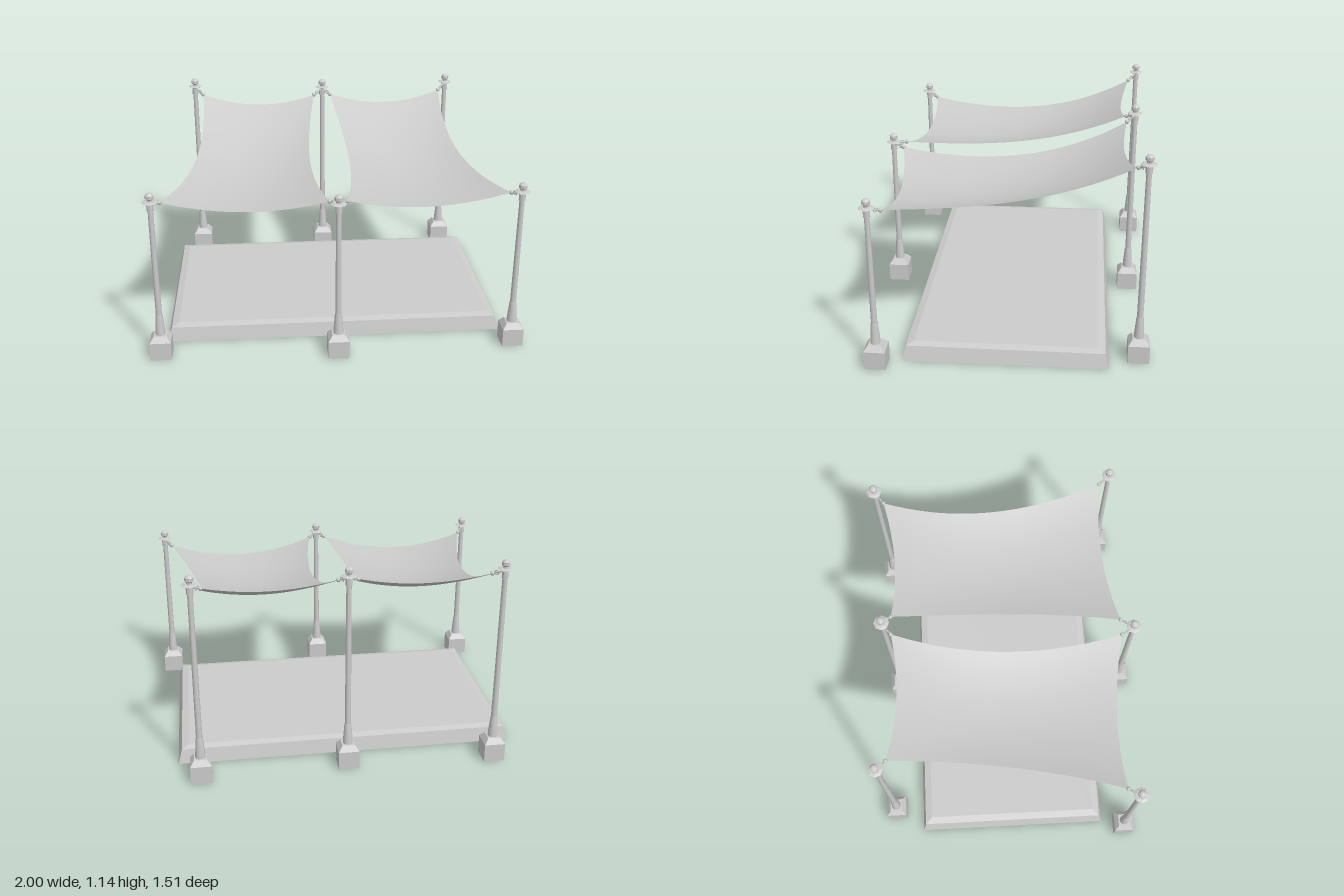
import * as THREE from 'three';

const flat = new THREE.MeshStandardMaterial({ color: 0xcccccc, flatShading: true, side: THREE.DoubleSide });
const smooth = new THREE.MeshStandardMaterial({ color: 0xcccccc, side: THREE.DoubleSide });

function mesh(name, geometry, material, parent) {
  const m = new THREE.Mesh(geometry, material);
  m.name = name;
  parent.add(m);
  return m;
}

function lathe(points, sides) {
  return new THREE.LatheGeometry(points.map(([r, y]) => new THREE.Vector2(r, y)), sides);
}

// Square, hollow-bottomed footing with a chamfered top
function footing() {
  const k = Math.SQRT2;
  return lathe([[0.056 * k, 0], [0.056 * k, 0.1], [0.034 * k, 0.13], [0, 0.13]], 4).rotateY(Math.PI / 4);
}

// Post standing at (x, z) whose finial reaches height h
function post(name, x, z, h) {
  const g = new THREE.Group();
  g.name = name;
  g.position.set(x, 0, z);
  mesh('footing', footing(), flat, g);
  mesh('sleeve', lathe([[0.027, 0.13], [0.026, 0.15], [0.019, 0.24], [0.015, 0.25]], 12), smooth, g);
  mesh('shaft', new THREE.CylinderGeometry(0.0135, 0.0165, h - 0.29, 12, 1, true)
    .translate(0, 0.24 + (h - 0.29) / 2, 0), smooth, g);
  mesh('collar', new THREE.CylinderGeometry(0.018, 0.018, 0.035, 8).translate(0, h - 0.08, 0), flat, g);
  mesh('plate', lathe([[0, -0.006], [0.028, -0.005], [0.042, 0], [0.028, 0.005], [0, 0.006]], 8)
    .translate(0, h - 0.05, 0), flat, g);
  mesh('finial', lathe([[0.014, -0.05], [0.014, -0.036], [0.022, -0.029], [0.022, -0.012], [0.012, -0.002], [0, 0]], 8)
    .translate(0, h, 0), flat, g);
  return g;
}

// Cloth hung from four corners: edges curve inward and the middle sags
function sailGeometry([frontOuter, frontInner, backOuter, backInner]) {
  const n = 20;
  const geo = new THREE.PlaneGeometry(1, 1, n, n);
  const p = geo.attributes.position;
  const a = new THREE.Vector3(), b = new THREE.Vector3();
  for (let i = 0; i < p.count; i++) {
    const u = p.getX(i) + 0.5, v = p.getY(i) + 0.5;
    const bu = 4 * u * (1 - u), bv = 4 * v * (1 - v);
    a.lerpVectors(frontOuter, frontInner, u);
    b.lerpVectors(backOuter, backInner, u);
    a.lerp(b, v);
    const side = Math.sign(frontInner.x - frontOuter.x);
    a.x += side * 0.064 * bv * (1 - 2 * u);
    a.z += -0.037 * bu * (1 - 2 * v);
    a.y -= 0.1 * bv * (1 + 0.4 * (v - 0.5)) + bu * (0.073 - 0.02 * v - 0.03 * v * (1 - v));
    p.setXYZ(i, a.x, a.y, a.z);
  }
  // Keep the cloth facing upward on the mirrored half as well
  if (frontInner.x < frontOuter.x) {
    const ix = geo.index.array;
    for (let i = 0; i < ix.length; i += 3) [ix[i + 1], ix[i + 2]] = [ix[i + 2], ix[i + 1]];
  }
  geo.computeVertexNormals();
  return geo;
}

// Cord from a sail corner to its post, with a ring and a knot
function tie(corner, anchor, parent) {
  const g = new THREE.Group();
  g.name = 'cornerTie';
  parent.add(g);
  mesh('cord', new THREE.TubeGeometry(new THREE.LineCurve3(corner, anchor), 1, 0.0045, 6), smooth, g);
  mesh('knot', new THREE.SphereGeometry(0.012, 8, 6), smooth, g).position.copy(corner);
  const ring = mesh('ring', new THREE.TorusGeometry(0.011, 0.003, 5, 10), smooth, g);
  ring.position.lerpVectors(corner, anchor, 0.35);
  ring.lookAt(anchor);
  ring.rotateY(Math.PI / 2);
}

// Slab with battered sides, a beveled rim and an open underside
function slabGeometry() {
  const rings = [[0.915, 0.535, 0], [0.893, 0.518, 0.078], [0.855, 0.48, 0.088]];
  const pos = [], idx = [];
  for (const [x, z, y] of rings) pos.push(-x, y, z, x, y, z, x, y, -z, -x, y, -z);
  for (let r = 0; r < 2; r++) {
    for (let i = 0; i < 4; i++) {
      const a = r * 4 + i, b = r * 4 + (i + 1) % 4;
      idx.push(a, b, b + 4, a, b + 4, a + 4);
    }
  }
  idx.push(8, 9, 10, 8, 10, 11);
  const geo = new THREE.BufferGeometry();
  geo.setAttribute('position', new THREE.Float32BufferAttribute(pos, 3));
  geo.setIndex(idx);
  const out = geo.toNonIndexed();
  out.computeVertexNormals();
  return out;
}

export function createModel() {
  const root = new THREE.Group();
  root.name = 'shadeSailCanopy';

  mesh('floorSlab', slabGeometry(), flat, root).position.set(-0.007, 0, -0.015);

  // Centre posts
  root.add(post('frontCentrePost', -0.004, 0.7, 0.92));
  root.add(post('backCentrePost', 0.004, -0.668, 1.13));

  // Outer posts, sails and ties on both sides
  for (const [s, label] of [[1, 'left'], [-1, 'right']]) {
    root.add(post(label + 'FrontPost', s * 0.944, 0.645, 0.935));
    root.add(post(label + 'BackPost', s * 0.786, -0.703, 1.14));

    const corners = [
      new THREE.Vector3(s * 0.903, 0.857, 0.585),
      new THREE.Vector3(s * 0.045, 0.857, 0.633),
      new THREE.Vector3(s * 0.735, 1.05, -0.655),
      new THREE.Vector3(s * 0.05, 1.045, -0.622),
    ];
    const anchors = [
      new THREE.Vector3(s * 0.944, 0.877, 0.645),
      new THREE.Vector3(-0.004, 0.862, 0.7),
      new THREE.Vector3(s * 0.786, 1.082, -0.703),
      new THREE.Vector3(0.004, 1.072, -0.668),
    ];
    mesh(label + 'Sail', sailGeometry(corners), smooth, root);
    corners.forEach((c, i) => tie(c, anchors[i], root));
  }
  return root;
}
